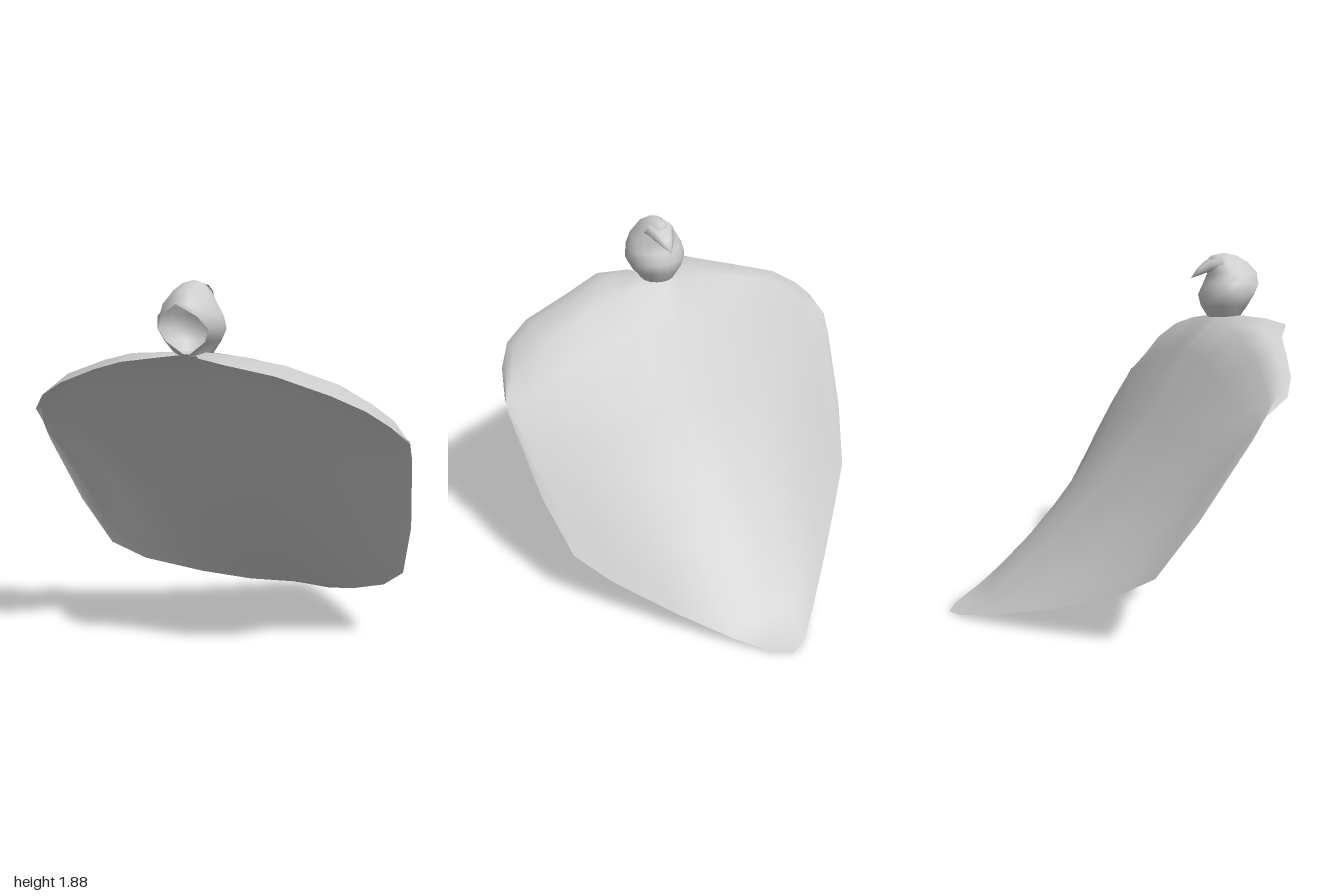
import * as THREE from 'three';
import { mergeVertices } from 'three/addons/utils/BufferGeometryUtils.js';

const material = new THREE.MeshStandardMaterial({ color: 0xcccccc, side: THREE.DoubleSide });

// Skin a grid of points: grid[i][j] = [x, y, z]
function skin(name, grid) {
  const rows = grid[0].length;
  const index = [];
  for (let i = 0; i < grid.length - 1; i++) {
    for (let j = 0; j < rows - 1; j++) {
      const a = i * rows + j, b = a + rows;
      index.push(a, a + 1, b, b, a + 1, b + 1);
    }
  }
  let geometry = new THREE.BufferGeometry();
  geometry.setAttribute('position', new THREE.Float32BufferAttribute(grid.flat(2), 3));
  geometry.setIndex(index);
  geometry = mergeVertices(geometry, 1e-4);
  geometry.computeVertexNormals();
  const mesh = new THREE.Mesh(geometry, material);
  mesh.name = name;
  return mesh;
}

// Cape profiles from the trailing edge to the front edge: x, then z, y pairs
const capeProfiles = [
  [0, -.9, 0, -.67, .07, -.38, .35, -.1, .63, .2, 1.02, .4, 1.34, .56, 1.54, .6, 1.55, .64, 1.54],
  [.1, -.85, .01, -.66, .07, -.38, .34, -.1, .62, .2, 1.02, .42, 1.36, .57, 1.54, .72, 1.55, .82, 1.53],
  [.26, -.69, .05, -.58, .14, -.35, .35, -.1, .6, .2, 1, .42, 1.34, .57, 1.52, .78, 1.545, .9, 1.51],
  [.48, -.46, .135, -.35, .25, -.2, .42, 0, .68, .2, .97, .4, 1.28, .55, 1.47, .7, 1.5, .83, 1.46],
  [.73, -.19, .26, -.12, .35, 0, .53, .12, .74, .25, .97, .4, 1.2, .53, 1.37, .68, 1.42, .8, 1.38],
  [.87, -.04, .38, .02, .48, .1, .63, .2, .8, .3, .98, .4, 1.14, .5, 1.26, .62, 1.33, .73, 1.31],
  [.95, .15, .67, .2, .77, .25, .86, .3, .95, .36, 1.04, .42, 1.14, .48, 1.2, .54, 1.25, .61, 1.23],
];
// The right lobe of the front edge is shorter than the left one
const rightLobe = [1, 1, 1, .82, .6, .57, .7, 1];

function cape() {
  const column = (k, side) => {
    const points = [];
    for (let j = 0; j < 9; j++) {
      if (k === capeProfiles.length) {
        // Side corner, nearly a point
        points.push([side, 1.05 + j * .012, .385 + j * .007]);
        continue;
      }
      const p = capeProfiles[k];
      let z = p[1 + 2 * j];
      if (side < 0 && z > .5) z = .5 + (z - .5) * rightLobe[k];
      points.push([side * p[0], p[2 + 2 * j], z]);
    }
    return points;
  };
  const grid = [];
  for (let k = capeProfiles.length; k > 0; k--) grid.push(column(k, -1));
  for (let k = 0; k <= capeProfiles.length; k++) grid.push(column(k, 1));
  return skin('cape', grid);
}

// Hood rings: y, half width, centre z, back depth, front depth, half angle of the arc
const hoodRings = [
  [1.53, .085, .65, .08, .08, Math.PI],
  [1.6, .135, .66, .135, .125, 2.3],
  [1.66, .165, .67, .16, .16, 2.23],
  [1.72, .155, .67, .13, .18, 2.5],
  [1.775, .125, .67, .11, .17, Math.PI],
  [1.835, .08, .66, .12, .125, Math.PI],
  [1.87, .045, .65, .08, .07, Math.PI],
  [1.885, 0, .645, 0, 0, Math.PI],
];

function hood() {
  const steps = 14;
  const grid = [];
  for (let i = 0; i <= steps; i++) {
    grid.push(hoodRings.map(([y, w, zc, back, front, half]) => {
      const a = (i / steps * 2 - 1) * half;
      const c = Math.cos(a);
      return [w * Math.sin(a), y, zc - c * (c > 0 ? back : front)];
    }));
  }
  return skin('hood', grid);
}

// Drooping point at the back of the hood: z, y, half width, half height
function hoodTip() {
  const rings = [[.61, 1.83, .085, .045], [.55, 1.815, .06, .035], [.5, 1.785, .032, .022], [.455, 1.75, 0, 0]];
  const grid = [];
  for (let i = 0; i <= 8; i++) {
    const t = i / 8 * Math.PI * 2;
    grid.push(rings.map(([z, y, w, h]) => [w * Math.cos(t), y + h * Math.sin(t), z]));
  }
  return skin('hoodTip', grid);
}

// Tilted disc closing the neck
function neck() {
  const mesh = new THREE.Mesh(new THREE.CircleGeometry(.083, 10), material);
  mesh.name = 'neck';
  mesh.rotation.x = Math.PI / 2 - .15;
  mesh.position.set(0, 1.53, .655);
  return mesh;
}

export function createModel() {
  const model = new THREE.Group();
  model.name = 'hoodedCape';
  model.add(cape(), hood(), hoodTip(), neck());
  return model;
}
